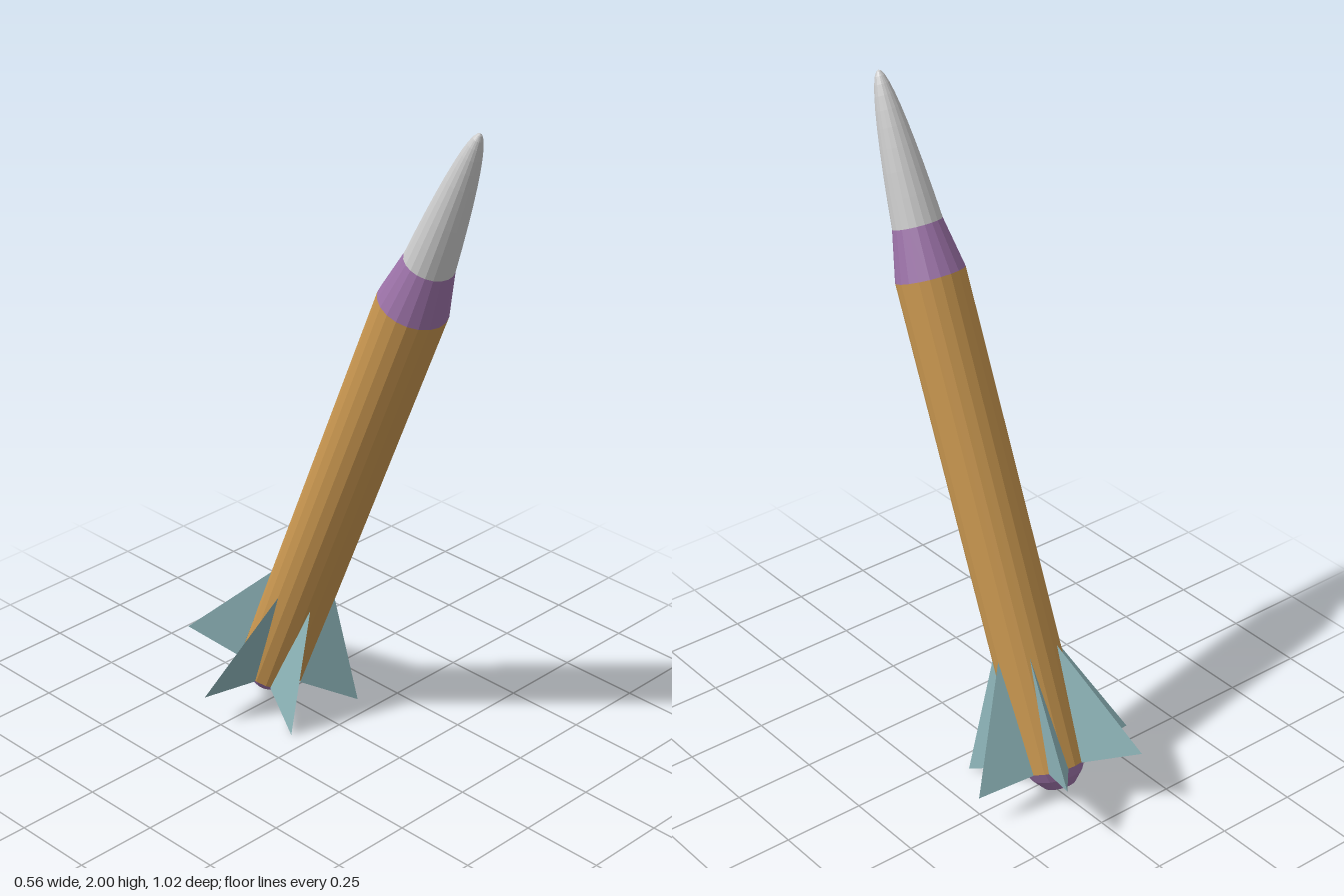
import * as THREE from 'three';

const SIDES = 20;
const material = (color) => new THREE.MeshStandardMaterial({ color, flatShading: true });

// Solid of revolution from [radius, height] pairs, bottom to top
function turned(name, profile, mat) {
  const points = profile.map(([r, y]) => new THREE.Vector2(r, y));
  const mesh = new THREE.Mesh(new THREE.LatheGeometry(points, SIDES), mat);
  mesh.name = name;
  return mesh;
}

// Wedge fin: pointed at the top of its root, wide at the foot, tapering to an outer tip
function finGeometry(root, tip, height, halfWidth) {
  const top = [root, height, 0];
  const out = [tip, 0, 0];
  const left = [root, 0, halfWidth];
  const right = [root, 0, -halfWidth];
  const faces = [top, left, out, top, out, right, out, left, right, top, right, left];
  const geometry = new THREE.BufferGeometry();
  geometry.setAttribute('position', new THREE.Float32BufferAttribute(faces.flat(), 3));
  geometry.computeVertexNormals();
  return geometry;
}

export function createModel() {
  const model = new THREE.Group();
  model.name = 'rocket';

  const tan = material(0xc8964f);
  const purple = material(0x9c72a8);
  const teal = material(0x8db4b8);
  const grey = material(0xcccccc);

  const rocket = new THREE.Group();
  rocket.name = 'tiltedRocket';
  model.add(rocket);

  const radius = 0.102, bodyTop = 1.478, noseBase = 1.626, tipY = 2.065, noseRadius = 0.073;

  // Body tube with closed foot
  rocket.add(turned('body', [[0, 0], [radius, 0], [radius, bodyTop]], tan));

  // Tapered collar under the nose
  rocket.add(turned('collar', [[radius, bodyTop], [noseRadius, noseBase]], purple));

  // Rounded nose: parabolic profile, points closer together near the tip
  const nose = [];
  for (let i = 0; i <= 10; i++) {
    const u = 1 - i / 10;
    nose.push([noseRadius * u, tipY - (tipY - noseBase) * u * u]);
  }
  rocket.add(turned('noseCone', nose, grey));

  // Engine nozzle
  rocket.add(turned('nozzle', [[0, -0.07], [0.048, -0.07], [0.078, -0.035], [0.095, 0]], purple));

  // Six fins around the foot
  const fin = finGeometry(0.1, 0.28, 0.355, 0.029);
  for (let i = 0; i < 6; i++) {
    const mesh = new THREE.Mesh(fin, teal);
    mesh.name = `fin${i + 1}`;
    mesh.rotation.y = (i * Math.PI) / 3;
    rocket.add(mesh);
  }

  // Lean the whole rocket forward
  rocket.rotation.x = THREE.MathUtils.degToRad(22.5);
  rocket.position.set(0, 0.093, -0.285);

  return model;
}
